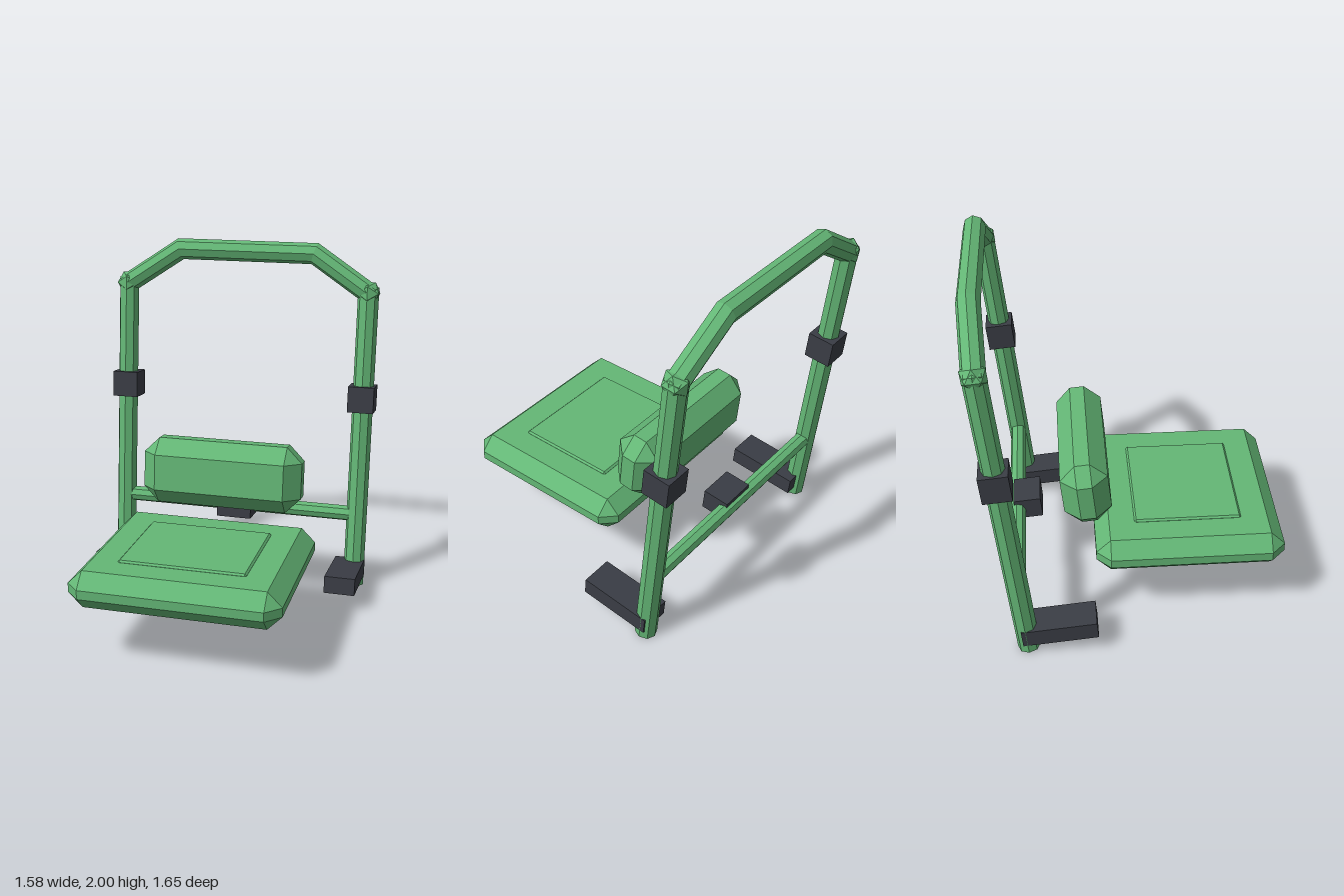
import * as THREE from 'three';
import { ConvexGeometry } from 'three/addons/geometries/ConvexGeometry.js';

const green = new THREE.MeshStandardMaterial({ color: 0x64b776 });
green.name = 'green';
const charcoal = new THREE.MeshStandardMaterial({ color: 0x3a3d45 });
charcoal.name = 'charcoal';

// Faceted normals for a low-poly look
function flat(geometry) {
  const g = geometry.index ? geometry.toNonIndexed() : geometry;
  g.computeVertexNormals();
  return g;
}

function addPart(parent, name, geometry, material, x, y, z) {
  const mesh = new THREE.Mesh(flat(geometry), material);
  mesh.name = name;
  mesh.position.set(x, y, z);
  parent.add(mesh);
  return mesh;
}

// Box with every edge and corner cut off by c
function chamferBox(w, h, d, c) {
  const points = [];
  for (const sx of [-1, 1]) for (const sy of [-1, 1]) for (const sz of [-1, 1]) {
    const x = w / 2, y = h / 2, z = d / 2;
    points.push(
      new THREE.Vector3(sx * x, sy * (y - c), sz * (z - c)),
      new THREE.Vector3(sx * (x - c), sy * y, sz * (z - c)),
      new THREE.Vector3(sx * (x - c), sy * (y - c), sz * z));
  }
  return new ConvexGeometry(points);
}

// Mitred tube along a polyline in the xy plane, closed at both ends
function mitredTube(path, radius, sides) {
  const points = path.map(([x, y]) => new THREE.Vector2(x, y));
  const last = points.length - 1;
  const perps = points.slice(1).map((p, i) => {
    const d = p.clone().sub(points[i]).normalize();
    return new THREE.Vector2(d.y, -d.x);
  });
  const positions = [], index = [];
  points.forEach((p, i) => {
    const before = perps[Math.max(i - 1, 0)], after = perps[Math.min(i, last - 1)];
    const n = before.clone().add(after).normalize();
    n.multiplyScalar(radius / n.dot(before));
    for (let j = 0; j < sides; j++) {
      const t = (j / sides) * Math.PI * 2;
      positions.push(p.x + n.x * Math.cos(t), p.y + n.y * Math.cos(t), radius * Math.sin(t));
    }
  });
  for (let i = 0; i < last; i++) {
    for (let j = 0; j < sides; j++) {
      const k = (j + 1) % sides;
      const a = i * sides + j, b = i * sides + k, c = a + sides, d = b + sides;
      index.push(a, c, b, b, c, d);
    }
  }
  const end = last * sides;
  for (let j = 1; j < sides - 1; j++) {
    index.push(0, j, j + 1, end, end + j + 1, end + j);
  }
  const g = new THREE.BufferGeometry();
  g.setAttribute('position', new THREE.Float32BufferAttribute(positions, 3));
  g.setIndex(index);
  return g;
}

export function createModel() {
  const model = new THREE.Group();
  model.name = 'exerciseSeat';

  // Frame leaning backwards
  const frame = new THREE.Group();
  frame.name = 'frame';
  frame.position.set(0, 0.012, -0.573);
  frame.rotation.x = -0.098;
  model.add(frame);

  const path = [[-0.718, 0], [-0.718, 1.731], [-0.4, 1.941],
    [0.4, 1.941], [0.718, 1.731], [0.718, 0]];
  addPart(frame, 'tubeFrame', mitredTube(path, 0.06, 8), green, 0, 0, 0);

  const crossBar = new THREE.CylinderGeometry(0.045, 0.045, 1.38, 8).rotateZ(Math.PI / 2);
  addPart(frame, 'crossBar', crossBar, green, 0, 0.43, 0);
  addPart(frame, 'centreBracket', new THREE.BoxGeometry(0.205, 0.12, 0.15), charcoal, 0, 0.434, 0.06);

  // Mirrored fittings on both posts
  for (const [side, s] of [['left', 1], ['right', -1]]) {
    addPart(frame, side + 'Joint', new THREE.IcosahedronGeometry(0.073, 0), green, s * 0.718, 1.731, 0);
    addPart(frame, side + 'Clamp', new THREE.BoxGeometry(0.15, 0.15, 0.15), charcoal, s * 0.714, 1.123, 0);
    addPart(frame, side + 'Foot', new THREE.BoxGeometry(0.175, 0.098, 0.405), charcoal, s * 0.69, 0.101, 0.179);
  }

  // Seat with raised pad
  addPart(model, 'seat', chamferBox(1.12, 0.203, 1.022, 0.077), green, 0, 0.414, 0.318);
  addPart(model, 'seatPad', chamferBox(0.685, 0.045, 0.585, 0.01), green, 0, 0.504, 0.315);

  // Back cushion
  const cushion = addPart(model, 'backCushion', chamferBox(0.917, 0.377, 0.255, 0.087), green, 0, 0.753, -0.238);
  cushion.rotation.x = -0.098;

  return model;
}
